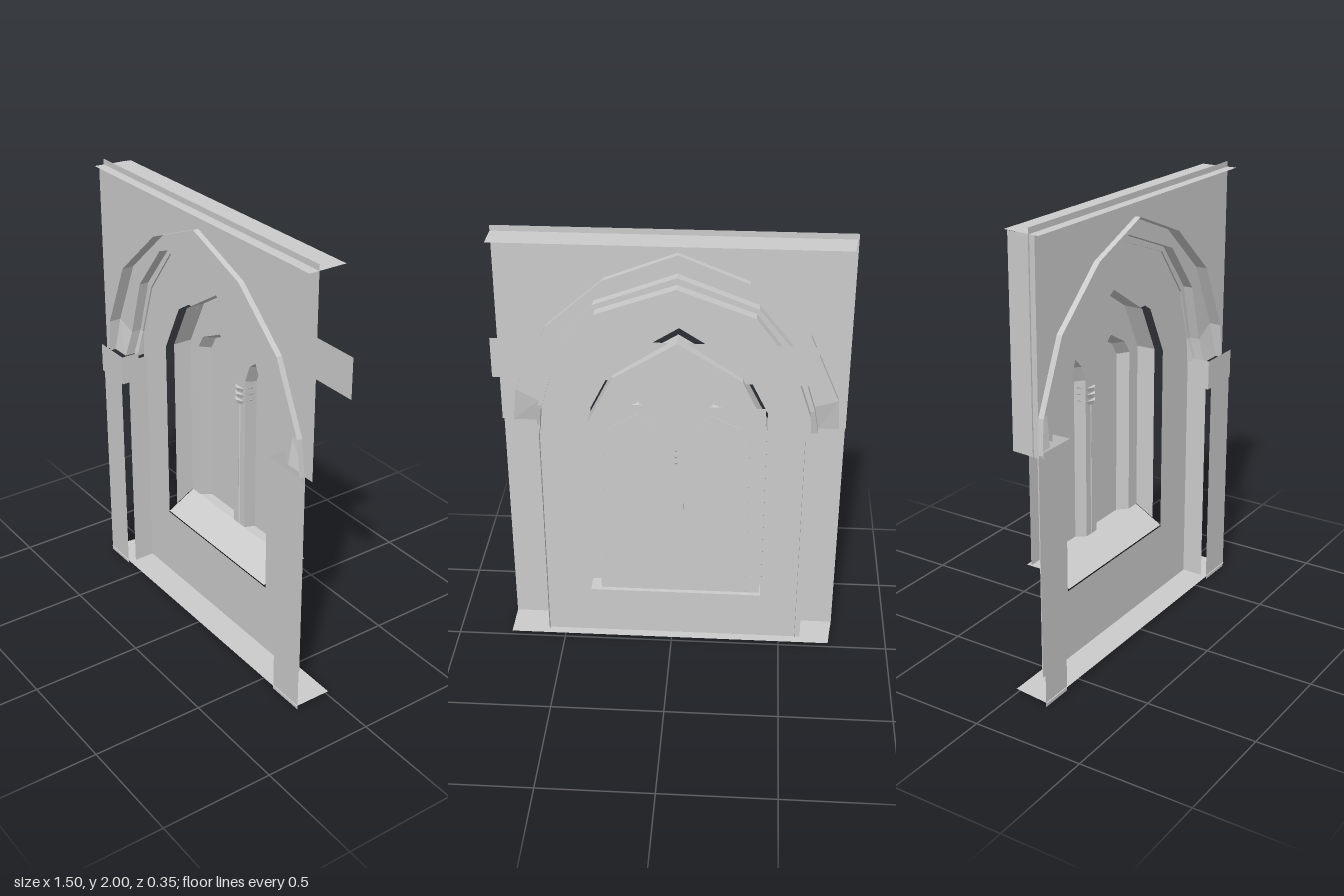
import * as THREE from 'three';

const material = new THREE.MeshStandardMaterial({ color: 0xcccccc, flatShading: true, side: THREE.DoubleSide });

export function createModel() {
  const model = new THREE.Group();

  const add = (name, geometry) => {
    const mesh = new THREE.Mesh(geometry, material);
    mesh.name = name;
    model.add(mesh);
  };

  // flat sheet facing +z, with optional holes
  const sheet = (name, points, z, holes = []) => {
    const toVectors = (list) => list.map(([x, y]) => new THREE.Vector2(x, y));
    const shape = new THREE.Shape(toVectors(points));
    for (const hole of holes) shape.holes.push(new THREE.Path(toVectors(hole)));
    add(name, new THREE.ShapeGeometry(shape).translate(0, 0, z));
  };
  const rect = (x0, y0, x1, y1) => [[x0, y0], [x1, y0], [x1, y1], [x0, y1]];

  // surface between two polylines of 3D points
  const loft = (name, a, b) => {
    const position = [];
    for (let i = 0; i < a.length - 1; i++) {
      position.push(...a[i], ...b[i], ...a[i + 1], ...a[i + 1], ...b[i], ...b[i + 1]);
    }
    const geometry = new THREE.BufferGeometry();
    geometry.setAttribute('position', new THREE.Float32BufferAttribute(position, 3));
    geometry.computeVertexNormals();
    add(name, geometry);
  };
  const atZ = (points, z) => points.map(([x, y]) => [x, y, z]);
  // the inner mouldings swing forward at their feet
  const archAt = (points, z) => points.map(([x, y]) => [x, y, y < 1.15 ? z + 0.025 : z]);

  // arch lines, from left foot over the apex to right foot
  const outerArch = [[-0.72, 1.1], [-0.71, 1.25], [-0.58, 1.55], [-0.32, 1.78], [-0.02, 1.9],
    [0.29, 1.78], [0.54, 1.56], [0.68, 1.26], [0.7, 1.1]];
  const middleArch = [[-0.63, 1.1], [-0.61, 1.22], [-0.53, 1.48], [-0.36, 1.69], [-0.02, 1.82],
    [0.33, 1.69], [0.51, 1.47], [0.58, 1.21], [0.59, 1.1]];
  const innerArch = [[-0.6, 1.1], [-0.59, 1.22], [-0.51, 1.46], [-0.35, 1.67], [-0.02, 1.79],
    [0.32, 1.67], [0.49, 1.45], [0.56, 1.21], [0.57, 1.1]];

  // front face above the arch, and the stepped mouldings
  sheet('spandrel', [[-0.75, 1.1], ...outerArch, [0.75, 1.1], [0.75, 2], [-0.75, 2]], 0.125);
  loft('outerArchReveal', atZ(outerArch, 0.15), archAt(outerArch, 0.095));
  loft('outerArchFace', archAt(outerArch, 0.095), archAt(middleArch, 0.095));
  loft('middleArchReveal', archAt(middleArch, 0.095), archAt(middleArch, 0.05));
  loft('innerArchFace', archAt(middleArch, 0.05), archAt(innerArch, 0.05));
  loft('innerArchReveal', archAt(innerArch, 0.05), archAt(innerArch, 0));

  // recessed wall with the window opening
  const windowArch = [[-0.41, 1.21], [-0.3, 1.43], [-0.03, 1.6], [0.24, 1.43], [0.35, 1.21]];
  const opening = [[-0.41, 0.345], ...windowArch, [0.35, 0.345]];
  sheet('recessedWall', [[-0.6, 0], [0.58, 0], [0.58, 1.1], ...innerArch.slice(1, -1).reverse(), [-0.6, 1.1]],
    0.042, [opening]);

  // piers, their inner returns and capitals
  for (const [side, outer, inner, capOuter, capInner, turn] of [
    ['right', -0.75, -0.6, -0.75, -0.57, -0.575], ['left', 0.75, 0.58, 0.74, 0.535, 0.575]]) {
    sheet(side + 'Pier', rect(Math.min(outer, inner), 0, Math.max(outer, inner), 1.1), 0.165);
    loft(side + 'PierReturn', [[turn, 0, 0.14], [turn, 1.1, 0.14]], [[turn, 0, 0.02], [turn, 1.1, 0.02]]);
    sheet(side + 'CapitalFace', rect(Math.min(capOuter, capInner), 0.995, Math.max(capOuter, capInner), 1.13), 0.175);
    loft(side + 'CapitalReturn', [[capInner, 0.995, 0.175], [capInner, 1.13, 0.175]],
      [[capInner, 0.995, 0.09], [capInner, 1.13, 0.09]]);
  }

  // top and bottom ledges, one side return
  for (const [name, y] of [['topLedge', 1.975], ['bottomLedge', 0.02]]) {
    loft(name, [[-0.75, y, 0.17], [0.75, y, 0.17]], [[-0.73, y, 0], [0.75, y, 0]]);
  }
  loft('sideReturn', [[-0.745, 1.1, 0.15], [-0.745, 1.975, 0.15]], [[-0.735, 1.1, 0.02], [-0.735, 1.975, 0.02]]);

  // window reveal and sloping sill
  const frameArch = [[-0.408, 1.21], [-0.3, 1.425], [-0.03, 1.592], [0.24, 1.425], [0.348, 1.21]];
  const frameFrom = (y) => [[-0.408, y], ...frameArch, [0.348, y]];
  loft('windowReveal', atZ(frameFrom(0.38), 0), atZ(frameFrom(0.43), -0.09));
  loft('slopingSill', [[-0.405, 0.355, 0.045], [0.345, 0.355, 0.045]], [[-0.405, 0.43, -0.09], [0.345, 0.43, -0.09]]);

  // tracery with two pointed lights
  const lights = [
    [[-0.345, 0.43], [-0.345, 1.2], [-0.31, 1.26], [-0.18, 1.32], [-0.1, 1.24], [-0.07, 1.17], [-0.07, 0.43]],
    [[0.01, 0.43], [0.01, 1.17], [0.04, 1.25], [0.13, 1.32], [0.24, 1.26], [0.28, 1.2], [0.28, 0.43]]];
  sheet('tracery', frameFrom(0.412), -0.09, lights);
  lights.forEach((line, i) => {
    const back = line.map(([x, y]) => [x + (i ? -1 : 1) * 0.006, y - 0.02, -0.156]);
    loft(i ? 'leftLightReveal' : 'rightLightReveal', atZ(line, -0.09), back);
  });

  // slim mullion with its capital
  add('mullion', new THREE.CylinderGeometry(0.028, 0.028, 0.64, 6).translate(-0.03, 0.75, -0.115));
  for (const y of [1.06, 1.09, 1.12]) {
    add('mullionCapital', new THREE.CylinderGeometry(0.045, 0.035, 0.02, 6).translate(-0.03, y, -0.115));
  }

  // pane and sill behind the lights
  sheet('pane', rect(-0.4, 0.405, 0.3, 1.34), -0.155);
  loft('rearSill', [[-0.405, 0.41, -0.09], [0.345, 0.41, -0.09]], [[-0.405, 0.41, -0.175], [0.345, 0.41, -0.175]]);

  // rear band, cut around the window frame
  sheet('rearBandRight', [[-0.61, 1.4], [-0.31, 1.4], [-0.3, 1.425], [-0.065, 1.58], [-0.61, 1.58]], -0.058);
  sheet('rearBandLeft', [[0.25, 1.4], [0.745, 1.4], [0.745, 1.58], [0.005, 1.58], [0.24, 1.425]], -0.058);

  return model;
}
